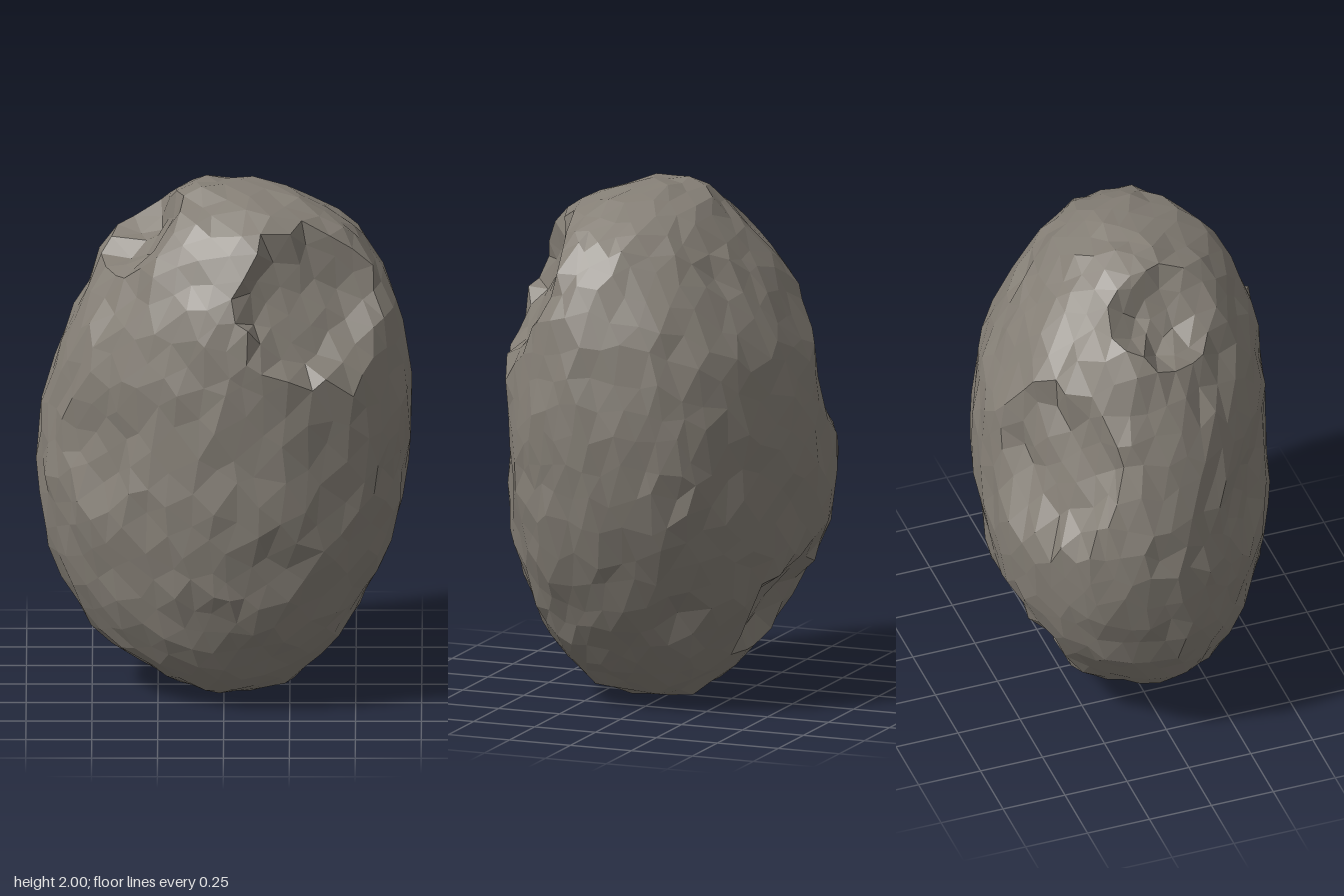
import * as THREE from 'three';

// Half widths by height, divided by the unit-sphere section: y, -x, +x, +z, -z
const PROFILE = [
  [0.06, 0.64, 0.68, 0.82, 0.47],
  [0.20, 0.75, 0.66, 0.67, 0.50],
  [0.47, 0.745, 0.68, 0.625, 0.58],
  [0.80, 0.73, 0.695, 0.59, 0.575],
  [1.10, 0.695, 0.715, 0.575, 0.575],
  [1.40, 0.665, 0.745, 0.62, 0.595],
  [1.69, 0.61, 0.82, 0.68, 0.53],
  [1.90, 0.60, 0.94, 0.76, 0.48],
];

// Dents: centre on the surface, radius, depth (a negative depth is a bump)
const CRATERS = [
  [0.34, 1.63, 0.42, 0.29, 0.13],
  [-0.43, 1.31, -0.46, 0.31, 0.105],
  [-0.27, 1.79, 0.06, 0.19, 0.11],
  [-0.38, 1.60, 0.21, 0.15, 0.03],
  [-0.41, 1.74, -0.12, 0.14, -0.05],
  [-0.50, 1.03, 0.36, 0.18, 0.03],
  [-0.11, 0.35, -0.44, 0.23, 0.10],
  [0.47, 0.35, -0.24, 0.15, 0.05],
  [0.17, 0.60, 0.52, 0.12, 0.025],
  [0.26, 1.66, -0.35, 0.11, 0.025],
].map(([x, y, z, radius, depth]) => {
  const centre = new THREE.Vector3(x, y, z);
  const inward = new THREE.Vector3(-x / 0.5, 1 - y, -z / 0.34).normalize();
  return { centre, inward, radius, depth };
});

function profileAt(y) {
  const last = PROFILE.length - 1;
  if (y <= PROFILE[0][0]) return PROFILE[0];
  if (y >= PROFILE[last][0]) return PROFILE[last];
  const i = PROFILE.findIndex((row) => row[0] > y);
  const a = PROFILE[i - 1], b = PROFILE[i];
  const t = (y - a[0]) / (b[0] - a[0]);
  return a.map((v, k) => THREE.MathUtils.lerp(v, b[k], t));
}

// Repeatable value in -1..1 for a direction, so shared corners stay joined
function hash(d, seed) {
  const q = (v) => Math.round(v * 1000);
  const s = Math.sin(q(d.x) * 12.9898 + q(d.y) * 78.233 + q(d.z) * 37.719 + seed * 11.3) * 43758.5453;
  return (s - Math.floor(s)) * 2 - 1;
}

function surfacePoint(direction) {
  // Irregular facets
  const d = direction.clone();
  d.x += 0.03 * hash(direction, 1);
  d.y += 0.03 * hash(direction, 2);
  d.z += 0.03 * hash(direction, 3);
  d.normalize();

  // Lopsided, slightly skewed egg with blunt ends
  const y = 1 + THREE.MathUtils.clamp(1.01 * d.y, -0.995, 0.995);
  const [, left, right, front, back] = profileAt(y);
  const skew = 0.07;
  const u = d.x * Math.cos(skew) + d.z * Math.sin(skew);
  const w = d.z * Math.cos(skew) + d.x * Math.sin(skew);
  const s = Math.hypot(d.x, d.z);
  const lean = 0.08 * (u * w) ** 2;
  const p = new THREE.Vector3(
    ((right - left) * s + (right + left) * u) / 2 + lean,
    y,
    ((front - back) * s + (front + back) * w) / 2 - lean,
  );

  // Broad lumps and fine roughness
  const lumps = Math.sin(7 * d.x + 3 * d.y) * Math.sin(6 * d.z - 5 * d.y + 1);
  p.addScaledVector(d, 0.004 * lumps + 0.012 * hash(direction, 4) - 0.004);

  // Bowl-shaped dents
  for (const { centre, inward, radius, depth } of CRATERS) {
    const r = p.distanceTo(centre) / radius;
    if (r < 1) p.addScaledVector(inward, depth * (1 - r ** 3.5));
  }
  return p;
}

export function createModel() {
  const geometry = new THREE.IcosahedronGeometry(1, 8);
  const position = geometry.attributes.position;
  const v = new THREE.Vector3();
  for (let i = 0; i < position.count; i++) {
    v.fromBufferAttribute(position, i).normalize();
    const p = surfacePoint(v);
    position.setXYZ(i, p.x, p.y, p.z);
  }

  // Centre it and stand it on the ground
  geometry.computeBoundingBox();
  const middle = geometry.boundingBox.getCenter(new THREE.Vector3());
  geometry.translate(-middle.x, -geometry.boundingBox.min.y, -middle.z);
  geometry.computeVertexNormals();

  const material = new THREE.MeshStandardMaterial({ color: 0x857f76, flatShading: true });
  const rock = new THREE.Mesh(geometry, material);
  rock.name = 'rock';

  const group = new THREE.Group();
  group.name = 'crateredRock';
  group.add(rock);
  return group;
}
